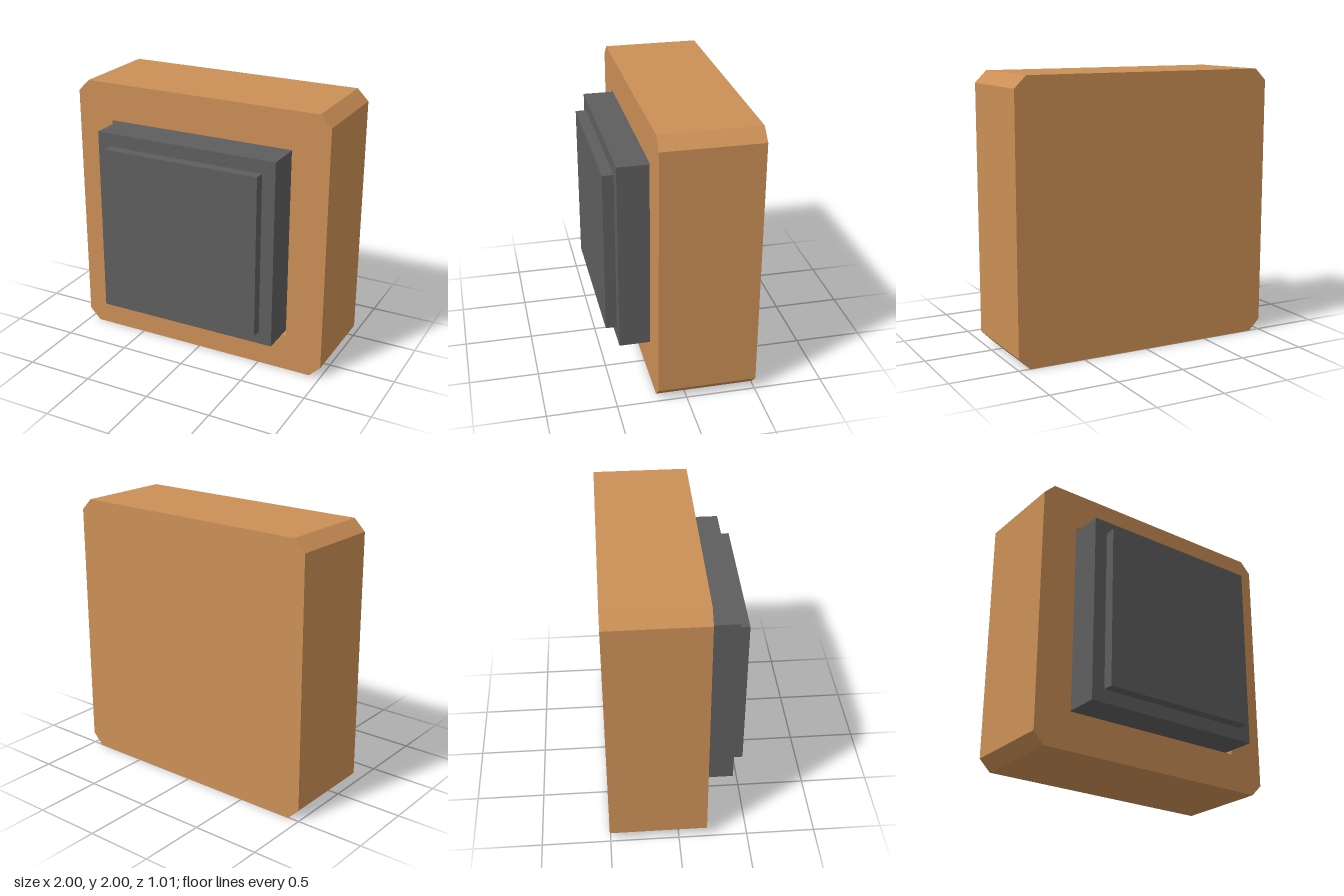
import * as THREE from 'three';
import { mergeGeometries } from 'three/addons/utils/BufferGeometryUtils.js';

const BACK = -0.505, FRONT = 0.205, FLOOR = 0, STEP = 0.425, TIP = 0.505;

// Flat-sided band following a closed outline between two depths
function band(points, z0, z1) {
  const quads = points.map((a, i) => {
    const b = points[(i + 1) % points.length];
    const g = new THREE.PlaneGeometry(a.distanceTo(b), Math.abs(z1 - z0));
    const dx = b.x - a.x, dy = b.y - a.y, len = Math.hypot(dx, dy);
    const along = new THREE.Vector3(dx / len, dy / len, 0);
    const depth = new THREE.Vector3(0, 0, 1);
    const out = new THREE.Vector3().crossVectors(along, depth);
    const m = new THREE.Matrix4().makeBasis(along, depth, out);
    m.setPosition((a.x + b.x) / 2, (a.y + b.y) / 2, (z0 + z1) / 2);
    return g.applyMatrix4(m);
  });
  return mergeGeometries(quads);
}

// Counter-clockwise square outline
function square(h) {
  return [[-h, -h], [h, -h], [h, h], [-h, h]].map(([x, y]) => new THREE.Vector2(x, y));
}

export function createModel() {
  const group = new THREE.Group();
  const orange = new THREE.MeshStandardMaterial({ color: 0xcb8f56 });
  const dark = new THREE.MeshStandardMaterial({ color: 0x5e5e5e });

  const add = (name, geometry, material, z = 0) => {
    const mesh = new THREE.Mesh(geometry, material);
    mesh.name = name;
    mesh.position.set(0, 1, z);
    group.add(mesh);
  };

  // Housing: block with four chamfered corners and a square recess in front
  const c = 0.915;
  const outline = [
    [-c, -1], [c, -1], [1, -c], [1, c], [c, 1], [-c, 1], [-1, c], [-1, -c],
  ].map(([x, y]) => new THREE.Vector2(x, y));
  const recess = square(0.72).reverse();
  const face = new THREE.Shape(outline);
  face.holes.push(new THREE.Path(recess));
  add('housing', mergeGeometries([
    new THREE.ShapeGeometry(face).translate(0, 0, FRONT),
    new THREE.ShapeGeometry(new THREE.Shape(outline)).rotateY(Math.PI).translate(0, 0, BACK),
    band(outline, BACK, FRONT),
    band(recess, FLOOR, FRONT),
    new THREE.PlaneGeometry(1.44, 1.44).translate(0, 0, FLOOR),
  ]), orange);

  // Button body sits in the recess with a narrow gap; a smaller cap lies on it
  add('buttonBody', new THREE.BoxGeometry(1.4, 1.4, STEP - FLOOR), dark, (STEP + FLOOR) / 2);
  add('buttonCap', new THREE.BoxGeometry(1.205, 1.205, TIP - STEP), dark, (TIP + STEP) / 2);

  return group;
}
